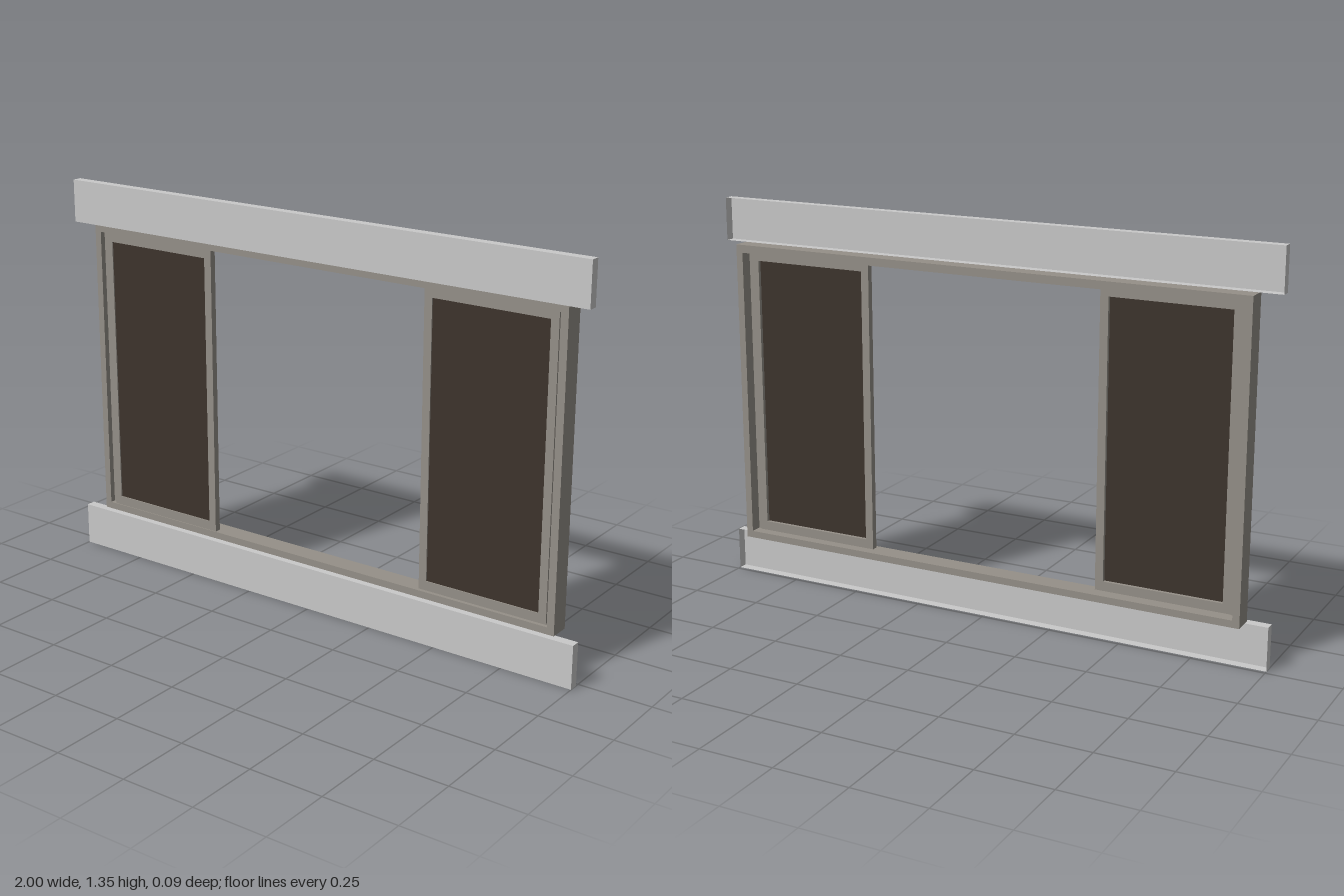
import * as THREE from 'three';

const boardMat = new THREE.MeshStandardMaterial({ name: 'light grey trim', color: 0xc9c9c9, side: THREE.DoubleSide });
const frameMat = new THREE.MeshStandardMaterial({ name: 'warm grey frame', color: 0x959088 });
const screenMat = new THREE.MeshStandardMaterial({ name: 'dark brown screen', color: 0x3d342d });

// Box given by its lower and upper corners
function box(name, mat, [x0, y0, z0], [x1, y1, z1]) {
  const mesh = new THREE.Mesh(new THREE.BoxGeometry(x1 - x0, y1 - y0, z1 - z0), mat);
  mesh.position.set((x0 + x1) / 2, (y0 + y1) / 2, (z0 + z1) / 2);
  mesh.name = name;
  return mesh;
}

// Rectangular ring with separate side widths, extruded from z0 to z1
function ring(name, [x0, y0, x1, y1], [a0, b0, a1, b1], z0, z1) {
  const rect = (C, l, b, r, t) => {
    const p = new C();
    p.moveTo(l, b);
    p.lineTo(r, b);
    p.lineTo(r, t);
    p.lineTo(l, t);
    p.closePath();
    return p;
  };
  const shape = rect(THREE.Shape, x0, y0, x1, y1);
  shape.holes.push(rect(THREE.Path, a0, b0, a1, b1));
  const geo = new THREE.ExtrudeGeometry(shape, { depth: z1 - z0, bevelEnabled: false });
  geo.translate(0, 0, z0);
  const mesh = new THREE.Mesh(geo, frameMat);
  mesh.name = name;
  return mesh;
}

// Thin sheet tray, open at the back
function trimBoard(name, y0, y1) {
  const mesh = box(name, boardMat, [-1, y0, 0.0125], [1, y1, 0.045]);
  const index = Array.from(mesh.geometry.index.array);
  mesh.geometry.setIndex(index.slice(0, 30)); // drop the rear face
  mesh.geometry.clearGroups();
  return mesh;
}

// Sliding sash with its screen
function sash(name, x0, x1, z0, z1) {
  const g = new THREE.Group();
  g.name = name;
  const inner = [x0 + 0.028, 0.206, x1 - 0.028, 1.146];
  const mid = (z0 + z1) / 2 + 0.004;
  g.add(ring('sashFrame', [x0, 0.174, x1, 1.176], inner, z0, z1));
  g.add(box('screen', screenMat, [inner[0], inner[1], mid - 0.003], [inner[2], inner[3], mid + 0.003]));
  return g;
}

export function createModel() {
  const model = new THREE.Group();
  model.name = 'slidingWindow';

  // Trim above and below
  model.add(trimBoard('lowerTrim', 0, 0.148), trimBoard('upperTrim', 1.203, 1.35));

  // Outer frame
  model.add(ring('windowFrame', [-0.925, 0.15, 0.922, 1.203], [-0.901, 0.174, 0.898, 1.176], -0.045, 0.025));

  // Narrow beads beside the sashes
  for (const s of [-1, 1]) {
    const x0 = s < 0 ? -0.901 : 0.88;
    const x1 = s < 0 ? -0.88 : 0.898;
    model.add(box(s < 0 ? 'rightBead' : 'leftBead', frameMat, [x0, 0.174, -0.004], [x1, 1.176, 0.006]));
  }

  // Sashes on two neighbouring tracks
  model.add(sash('rightSash', -0.88, -0.414, 0, 0.022));
  model.add(sash('leftSash', 0.42, 0.886, -0.01, 0.012));
  return model;
}
